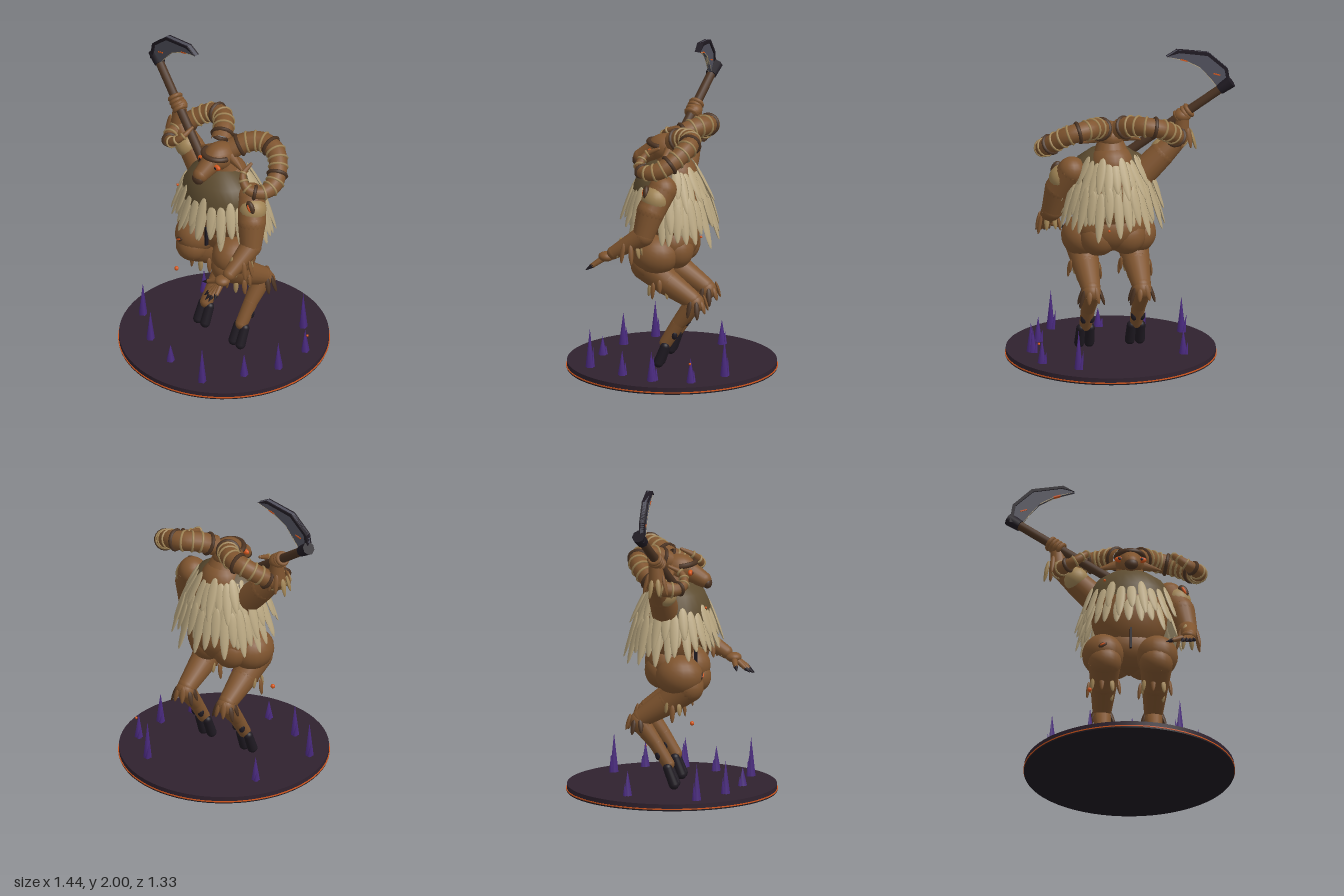
import * as THREE from 'three';

const M = {};
for (const [name, hex] of Object.entries({
  hide: 0x80552f, darkHide: 0x4b3322, cream: 0xb8a680, tan: 0xa08455, olive: 0x5d4c30,
  black: 0x1f1a22, stone: 0x30222f, crystal: 0x4a2a80, ember: 0xd2561c, steel: 0x50505c,
})) { M[name] = new THREE.MeshStandardMaterial({ color: hex }); M[name].name = name; }
M.steel.side = THREE.DoubleSide;

const V = (x, y, z) => new THREE.Vector3(x, y, z);
const UP = V(0, 1, 0);
const ball = new THREE.SphereGeometry(1, 20, 14);
const leaf = new THREE.SphereGeometry(0.5, 8, 8).translate(0, -0.5, 0);
// pinch the lower end of the leaf to a point
{
  const p = leaf.attributes.position;
  for (let i = 0; i < p.count; i++) {
    const k = 1 + 0.35 * p.getY(i);
    p.setX(i, p.getX(i) * k);
  }
  leaf.computeVertexNormals();
}

function add(parent, name, geo, mat, pos) {
  const m = new THREE.Mesh(geo, mat);
  m.name = name;
  if (pos) m.position.copy(pos);
  parent.add(m);
  return m;
}
function blob(parent, name, mat, pos, rx, ry = rx, rz = rx) {
  const m = add(parent, name, ball, mat, pos);
  m.scale.set(rx, ry, rz);
  return m;
}
// tapered rod between two points
function rod(parent, name, mat, a, b, ra, rb, sides = 14) {
  const d = b.clone().sub(a);
  const m = add(parent, name, new THREE.CylinderGeometry(rb, ra, d.length(), sides), mat,
    a.clone().add(b).multiplyScalar(0.5));
  m.quaternion.setFromUnitVectors(UP, d.normalize());
  return m;
}
// rounded limb through joints [x, y, z, radius]
function limb(parent, name, mat, joints) {
  const g = new THREE.Group();
  g.name = name;
  parent.add(g);
  joints.forEach((j, i) => {
    const a = V(j[0], j[1], j[2]);
    blob(g, 'joint', mat, a, j[3]);
    const n = joints[i + 1];
    if (n) rod(g, 'segment', mat, a, V(n[0], n[1], n[2]), j[3], n[3], 18);
  });
  return g;
}
// leaf-shaped feather hanging from root along dir, flat side facing out
function feather(parent, name, mat, root, dir, out, len, width, thick = 0.022) {
  const y = dir.clone().normalize().negate();
  const x = y.clone().cross(out).normalize();
  const z = x.clone().cross(y);
  const m = add(parent, name, leaf, mat, root);
  m.quaternion.setFromRotationMatrix(new THREE.Matrix4().makeBasis(x, y, z));
  m.scale.set(width, len, thick);
}
// ring of feathers around a centre
function skirt(parent, name, mats, c, rx, rz, n, len, width, flare, from = 0, to = Math.PI * 2) {
  for (let i = 0; i < n; i++) {
    const a = from + (to - from) * (i + 0.5) / n, s = Math.sin(a), k = Math.cos(a);
    const vary = 1 + 0.18 * Math.sin(i * 2.7 + n);
    feather(parent, name, mats[(i * 7 + (i >> 1)) % mats.length],
      V(c.x + k * rx, c.y + 0.02 * Math.sin(i * 4.1), c.z + s * rz),
      V(k * flare, -1, s * flare), V(k, 0.3, s).normalize(), len * vary, width);
  }
}

function hornPart(parent, s) {
  const g = new THREE.Group();
  g.name = s > 0 ? 'leftHorn' : 'rightHorn';
  parent.add(g);
  const curve = new THREE.CatmullRomCurve3([
    [0.05, 1.48, -0.02], [0.11, 1.52, -0.1], [0.19, 1.53, -0.165], [0.29, 1.51, -0.17], [0.38, 1.45, -0.11],
    [0.43, 1.39, -0.02], [0.42, 1.37, 0.07], [0.35, 1.39, 0.125], [0.28, 1.45, 0.1], [0.27, 1.49, 0.02],
  ].map(([x, y, z]) => V(s * x, y, z)));
  const N = 60, R = 12;
  const radius = t => 0.066 * (1 - 0.25 * t) * (t < 0.6 ? 1 : 1 - 0.8 * (t - 0.6) / 0.4);
  const geo = new THREE.TubeGeometry(curve, N, 1, R);
  const p = geo.attributes.position, v = new THREE.Vector3();
  for (let i = 0; i <= N; i++) {
    const c = curve.getPointAt(i / N);
    for (let j = 0; j <= R; j++) {
      const k = i * (R + 1) + j;
      v.fromBufferAttribute(p, k).sub(c).multiplyScalar(radius(i / N)).add(c);
      p.setXYZ(k, v.x, v.y, v.z);
    }
  }
  add(g, 'hornCore', geo, M.hide);
  blob(g, 'hornTip', M.hide, curve.getPointAt(1), radius(1));
  for (let i = 1; i < 17; i++) {
    const t = i / 17.5, dark = i % 4 === 1;
    const ring = add(g, 'hornRing', new THREE.TorusGeometry(radius(t), dark ? 0.013 : 0.008, 6, 18),
      dark ? M.darkHide : M.tan, curve.getPointAt(t));
    ring.quaternion.setFromUnitVectors(V(0, 0, 1), curve.getTangentAt(t));
  }
}

function leg(parent, s) {
  const g = new THREE.Group(), x = s * 0.162;
  g.name = s > 0 ? 'leftLeg' : 'rightLeg';
  parent.add(g);
  blob(g, 'thigh', M.hide, V(s * 0.17, 0.77, 0.07), 0.132, 0.13, 0.15);
  limb(g, 'shin', M.hide, [[x, 0.7, 0.12, 0.105], [x, 0.6, 0, 0.085], [x, 0.49, -0.17, 0.06]]);
  limb(g, 'cannon', M.hide, [[x, 0.47, -0.185, 0.062], [x, 0.33, -0.08, 0.045], [x, 0.2, 0, 0.04]]);
  skirt(g, 'kneeTuft', [M.hide, M.tan, M.hide], V(x, 0.61, 0.04), 0.095, 0.06, 9, 0.1, 0.04, 0.1);
  skirt(g, 'hockTuft', [M.darkHide, M.hide], V(x, 0.5, -0.19), 0.055, 0.05, 8, 0.1, 0.042, 0.3);
  // cloven hoof and dewclaw
  for (const k of [-1, 1]) {
    limb(g, 'hoof', M.black, [[x + k * 0.03, 0.18, 0, 0.029], [x + k * 0.032, 0.075, 0.04, 0.032]]);
    blob(g, 'dewclaw', M.black, V(x + k * 0.025, 0.26, -0.06), 0.02, 0.032, 0.02);
  }
}

function fingers(parent, palm, tips) {
  for (const t of tips) {
    const tip = V(...t), mid = palm.clone().lerp(tip, 0.72);
    limb(parent, 'finger', M.hide, [[palm.x, palm.y, palm.z, 0.022], [mid.x, mid.y, mid.z, 0.014]]);
    rod(parent, 'claw', M.black, mid, tip, 0.015, 0.002, 8);
  }
}

export function createModel() {
  const root = new THREE.Group();
  root.name = 'hornedBeast';
  const g = new THREE.Group();
  g.name = 'figure';
  g.position.x = 0.06;
  root.add(g);

  // base
  add(g, 'base', new THREE.CylinderGeometry(0.66, 0.66, 0.036, 64), M.stone, V(0, 0.026, 0));
  add(g, 'baseRim', new THREE.CylinderGeometry(0.665, 0.665, 0.007, 64), M.ember, V(0, 0.012, 0));
  add(g, 'baseFoot', new THREE.CylinderGeometry(0.662, 0.662, 0.01, 64), M.black, V(0, 0.005, 0));
  for (const [x, z, h] of [[-0.5, 0.23, 0.23], [-0.42, -0.22, 0.16], [-0.27, 0.38, 0.21], [-0.01, 0.45, 0.12],
    [0.29, 0.46, 0.25], [0.42, 0.22, 0.16], [0.5, 0, 0.16], [0.49, -0.24, 0.16], [0.29, -0.41, 0.25], [0.51, 0.01, 0.19]]) {
    add(g, 'crystal', new THREE.ConeGeometry(0.028, h, 5), M.crystal, V(x, 0.044 + h / 2, z));
    const c = add(g, 'smallCrystal', new THREE.ConeGeometry(0.016, h * 0.5, 5), M.crystal, V(x - 0.02, 0.044 + h * 0.24, z - 0.015));
    c.rotation.z = 0.15;
  }
  for (const p of [[-0.26, 0.485, 0.165], [0.51, 0.17, -0.24], [-0.17, 1.21, 0.24], [0.05, 0.87, -0.2]])
    blob(g, 'emberSpark', M.ember, V(...p), p[1] === 0.485 ? 0.014 : 0.008);

  // torso
  blob(g, 'pelvis', M.hide, V(0, 0.84, -0.02), 0.22, 0.15, 0.15);
  for (const s of [-1, 1]) blob(g, 'buttock', M.hide, V(s * 0.09, 0.79, -0.05), 0.12, 0.12, 0.11);
  blob(g, 'torso', M.hide, V(0, 1.06, -0.01), 0.24, 0.27, 0.185);
  add(g, 'bellyMark', new THREE.BoxGeometry(0.012, 0.14, 0.02), M.black, V(0, 0.86, 0.15));
  limb(g, 'neck', M.hide, [[0, 1.25, -0.02, 0.14], [0, 1.4, 0.02, 0.08]]);
  const mantle = add(g, 'mantle', new THREE.LatheGeometry([[0.265, 1.12], [0.255, 1.2], [0.21, 1.28], [0.13, 1.335], [0.06, 1.36]]
    .map(([r, y]) => new THREE.Vector2(r, y)), 28), M.olive, V(0, 0, 0.04));
  mantle.scale.z = 0.78;

  // feather cape
  const F = [M.cream, M.tan, M.cream, M.olive, M.cream];
  skirt(g, 'capeFeather', F, V(0, 1.2, 0.03), 0.255, 0.2, 26, 0.24, 0.075, 0.36);
  skirt(g, 'capeFeather', F, V(0, 1.11, 0.02), 0.255, 0.195, 25, 0.2, 0.07, 0.32);
  skirt(g, 'capeFeather', F, V(0, 1.31, -0.02), 0.16, 0.12, 13, 0.24, 0.075, 0.5, Math.PI, Math.PI * 2);
  skirt(g, 'capeFeather', F, V(0, 1.14, -0.03), 0.25, 0.19, 15, 0.27, 0.075, 0.3, Math.PI, Math.PI * 2);

  // head
  const head = new THREE.Group();
  head.name = 'head';
  g.add(head);
  blob(head, 'skull', M.hide, V(0, 1.425, 0.04), 0.09, 0.09, 0.115);
  limb(head, 'snout', M.hide, [[0, 1.41, 0.1, 0.07], [0, 1.355, 0.2, 0.05]]);
  blob(head, 'nose', M.darkHide, V(0, 1.335, 0.225), 0.043, 0.036, 0.03);
  const brow = add(head, 'brow', new THREE.TorusGeometry(0.088, 0.017, 8, 20, Math.PI), M.darkHide, V(0, 1.45, 0.06));
  brow.rotation.x = Math.PI / 2 - 0.15;
  for (const s of [-1, 1]) {
    blob(head, 'eye', M.ember, V(s * 0.07, 1.41, 0.127), 0.03, 0.019, 0.016);
    blob(head, 'pupil', M.black, V(s * 0.07, 1.41, 0.141), 0.01, 0.01, 0.004);
    rod(head, 'ear', M.hide, V(s * 0.07, 1.43, 0), V(s * 0.2, 1.39, 0.02), 0.035, 0.004, 8);
    hornPart(g, s);
    leg(g, s);
  }

  // lowered left arm
  const la = new THREE.Group();
  la.name = 'leftArm';
  g.add(la);
  limb(la, 'arm', M.hide, [[0.25, 1.22, 0, 0.09], [0.32, 1.09, 0.06, 0.09], [0.355, 0.94, 0.1, 0.068], [0.36, 0.82, 0.29, 0.042]]);
  blob(la, 'shoulderPatch', M.tan, V(0.3, 1.165, 0.035), 0.088);
  const gash = blob(la, 'shoulderGash', M.darkHide, V(0.335, 1.22, 0.085), 0.03, 0.045, 0.02);
  gash.rotation.z = 0.5;
  blob(la, 'gashGlow', M.ember, V(0.337, 1.22, 0.098), 0.011, 0.028, 0.012).rotation.z = 0.5;
  skirt(la, 'wristTuft', [M.hide, M.tan], V(0.36, 0.9, 0.19), 0.055, 0.06, 8, 0.11, 0.04, 0.2);
  const palm = V(0.35, 0.79, 0.34);
  blob(la, 'palm', M.hide, palm, 0.048, 0.032, 0.05);
  fingers(la, palm, [[0.3, 0.705, 0.45], [0.33, 0.695, 0.47], [0.36, 0.695, 0.47], [0.39, 0.71, 0.45], [0.21, 0.73, 0.38]]);

  // raised right arm
  const ra = new THREE.Group();
  ra.name = 'rightArm';
  g.add(ra);
  limb(ra, 'arm', M.hide, [[-0.2, 1.18, -0.01, 0.09], [-0.32, 1.3, -0.02, 0.082], [-0.44, 1.41, -0.03, 0.058], [-0.45, 1.53, -0.04, 0.042]]);
  blob(ra, 'armPatch', M.tan, V(-0.335, 1.32, 0), 0.08);
  skirt(ra, 'elbowTuft', [M.tan, M.hide], V(-0.46, 1.46, -0.035), 0.05, 0.05, 8, 0.12, 0.04, 0.25);
  blob(ra, 'palm', M.hide, V(-0.45, 1.55, -0.035), 0.055, 0.045, 0.05);

  // staff and scythe blade
  const sc = new THREE.Group();
  sc.name = 'scythe';
  g.add(sc);
  const top = V(-0.735, 1.765, -0.1), low = V(-0.1, 1.29, 0.06), along = low.clone().sub(top).normalize();
  rod(sc, 'staff', M.darkHide, low, top, 0.03, 0.028);
  rod(sc, 'collar', M.black, top.clone().addScaledVector(along, 0.07), top.clone().addScaledVector(along, -0.02), 0.036, 0.042, 8);
  for (let i = 0; i < 4; i++) {
    const f = add(ra, 'grippingFinger', new THREE.TorusGeometry(0.036, 0.014, 8, 16), M.hide,
      top.clone().addScaledVector(along, 0.31 + i * 0.027));
    f.quaternion.setFromUnitVectors(V(0, 0, 1), along);
  }
  const outer = [[-0.75, 1.74], [-0.73, 1.86], [-0.61, 1.97], [-0.41, 2.0], [-0.34, 1.96]];
  const inner = [[-0.46, 1.925], [-0.56, 1.87], [-0.63, 1.79], [-0.675, 1.725]];
  const plate = (name, pts, depth, mat) => add(sc, name, new THREE.ExtrudeGeometry(
    new THREE.Shape(pts.map(([x, y]) => new THREE.Vector2(x, y))), { depth, bevelEnabled: false }), mat, V(0, 0, -0.083 - depth / 2));
  plate('blade', [...outer, ...inner], 0.022, M.steel);
  const inset = [[-0.36, 1.968], [-0.42, 1.982], [-0.6, 1.952], [-0.71, 1.853], [-0.73, 1.74]];
  plate('bladeSpine', [...outer, ...inset], 0.04, M.black);
  plate('bladeEdge', [[-0.34, 1.96], ...inner, [-0.668, 1.735], [-0.623, 1.797], [-0.555, 1.877], [-0.458, 1.931]], 0.025, M.cream);
  for (const [x, y] of [[-0.45, 1.93], [-0.66, 1.825]]) {
    const r = add(sc, 'bladeGlow', new THREE.BoxGeometry(0.045, 0.008, 0.028), M.ember, V(x, y, -0.083));
    r.rotation.z = 0.3;
  }

  // glowing thigh wound
  blob(g, 'thighGash', M.darkHide, V(-0.18, 0.775, 0.215), 0.03, 0.016, 0.01).rotation.z = 0.5;
  blob(g, 'thighGlow', M.ember, V(-0.18, 0.777, 0.222), 0.02, 0.007, 0.008).rotation.z = 0.5;
  return root;
}
